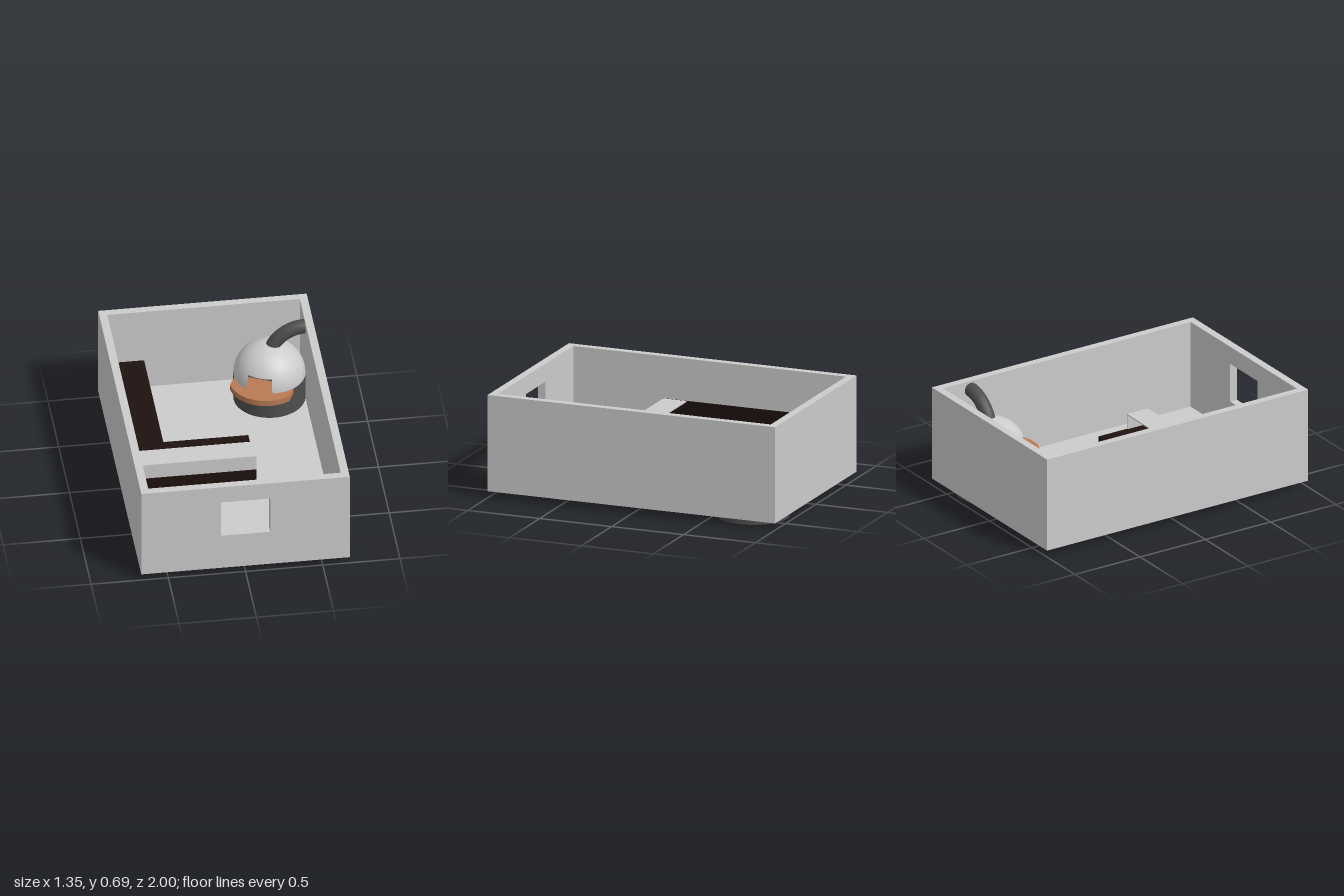
import * as THREE from 'three';

const material = (color) => new THREE.MeshStandardMaterial({ color, side: THREE.DoubleSide });

export function createModel() {
  const model = new THREE.Group();
  const grey = material(0xcccccc);
  const wood = material(0x1e1210);
  const iron = material(0x4d4d4d);
  const clay = material(0xb87a54);

  function add(name, geometry, mat, parent = model) {
    const mesh = new THREE.Mesh(geometry, mat);
    mesh.name = name;
    parent.add(mesh);
    return mesh;
  }
  // Box given by its lower and upper limits
  function block(name, mat, x0, x1, y0, y1, z0, z1) {
    const mesh = add(name, new THREE.BoxGeometry(x1 - x0, y1 - y0, z1 - z0), mat);
    mesh.position.set((x0 + x1) / 2, (y0 + y1) / 2, (z0 + z1) / 2);
    return mesh;
  }

  // Room shell: floor, plain walls and a front wall with a window
  const base = 0.045, floor = 0.09, top = 0.685, w = 0.675, t = 0.052;
  const inner = w - t;
  block('floor', grey, -w, w, base, floor, -1, 1);
  block('backWall', grey, -w, w, floor, top, -1, -1 + t);
  for (const side of [-1, 1]) {
    const x = side * (w - t / 2);
    block(side > 0 ? 'leftWall' : 'rightWall', grey, x - t / 2, x + t / 2, floor, top, -1 + t, 1 - t);
  }
  const wall = new THREE.Shape();
  wall.moveTo(-w, floor).lineTo(w, floor).lineTo(w, top).lineTo(-w, top).closePath();
  const opening = new THREE.Path();
  opening.moveTo(-0.16, 0.3).lineTo(-0.16, 0.565).lineTo(0.16, 0.565).lineTo(0.16, 0.3).closePath();
  wall.holes.push(opening);
  add('frontWall', new THREE.ExtrudeGeometry(wall, { depth: t, bevelEnabled: false }), grey).position.z = 1 - t;

  // L-shaped bench with a thin back panel on the wall
  const seat = 0.3, ledge = 0.405, end = 0.165;
  block('longBench', wood, -inner, -0.385, floor, seat, -1 + t, 0.32);
  block('shortBench', wood, -0.385, end, floor, seat, -0.055, 0.32);
  block('benchBack', wood, -inner, -inner + 0.004, seat, ledge, -1 + t, 0.32);

  // Raised counter over the bench, open towards the back
  block('counterTop', grey, -inner, end, ledge - 0.008, ledge, 0.16, 0.32);
  block('counterFront', grey, -inner, end, seat, ledge - 0.008, 0.312, 0.32);
  block('counterEnd', grey, end - 0.008, end, seat, ledge - 0.008, 0.16, 0.312);

  // Corner oven, turned so its mouth faces into the room
  const oven = new THREE.Group();
  oven.name = 'oven';
  oven.position.set(0.396, 0, -0.732);
  oven.rotation.y = -0.444;
  model.add(oven);
  const r = 0.232, hearth = 0.28;
  add('ovenBase', new THREE.CylinderGeometry(r, r, hearth, 48), iron, oven).position.y = hearth / 2;

  // Dome: closed cap above, lower band with a gap for the mouth
  const rim = 1.13, gap = 0.385;
  add('domeCap', new THREE.SphereGeometry(r, 48, 20, 0, Math.PI * 2, 0, rim), grey, oven).position.y = hearth;
  add('domeBand', new THREE.SphereGeometry(r, 44, 8, Math.PI / 2 + gap, 2 * (Math.PI - gap),
    rim, Math.PI / 2 - rim), grey, oven).position.y = hearth;

  // Clay shelf in front of the mouth, with a curved edge
  const shelf = new THREE.Shape();
  const a = Math.acos(0.2 / 0.235);
  shelf.moveTo(-0.2, 0.09);
  shelf.lineTo(0.2, 0.09);
  shelf.absarc(0, 0.08, 0.235, a, Math.PI - a, false);
  shelf.closePath();
  const shelfGeometry = new THREE.ExtrudeGeometry(shelf, { depth: 0.04, bevelEnabled: false, curveSegments: 24 });
  shelfGeometry.rotateX(Math.PI / 2);
  add('ovenShelf', shelfGeometry, clay, oven).position.y = hearth + 0.002;

  // Flue bending from the dome into the side wall
  const flue = add('flue', new THREE.TorusGeometry(0.235, 0.047, 16, 24, Math.PI / 2), iron);
  flue.rotation.z = Math.PI / 2;
  flue.position.set(0.63, 0.39, -0.735);

  return model;
}
